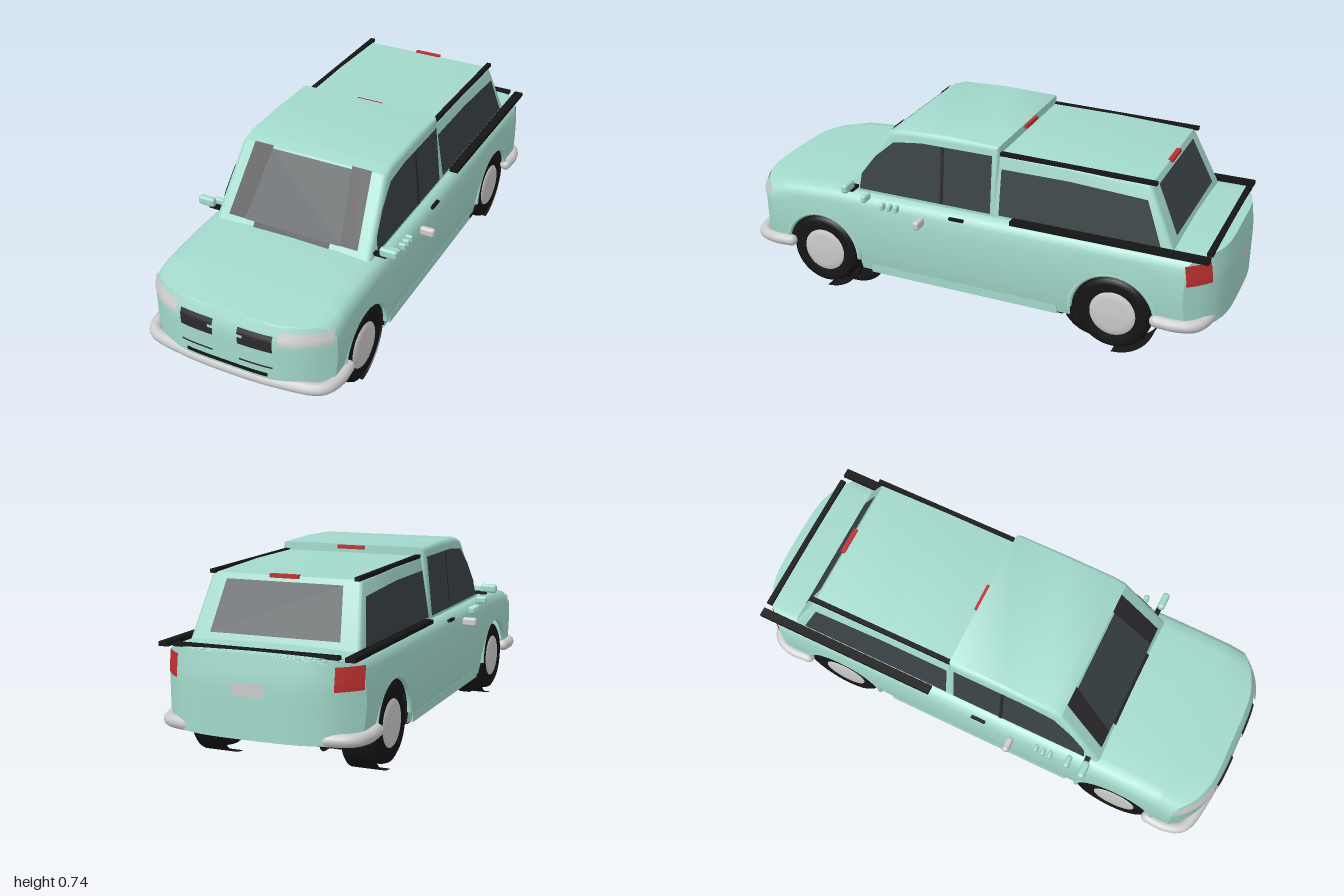
import * as THREE from 'three';
import { mergeGeometries, toCreasedNormals } from 'three/addons/utils/BufferGeometryUtils.js';
import { RoundedBoxGeometry } from 'three/addons/geometries/RoundedBoxGeometry.js';

const mat = (color) => new THREE.MeshStandardMaterial({ color, side: THREE.DoubleSide });
const paint = mat(0xa3d9cc), black = mat(0x151515), trim = mat(0x2a2a2c), glass = mat(0x3a4346);
const grey = mat(0xcccccc), red = mat(0xc03030), lamp = mat(0xe4e4e4);
const AXLES = [0.635, -0.605], WHEEL_Y = 0.147, ARCH = 0.168;
const lerp = THREE.MathUtils.lerp;

// Surface of nu x nv cells from a point rule
function grid(nu, nv, fn) {
  const pos = [], idx = [];
  for (let i = 0; i <= nu; i++) for (let j = 0; j <= nv; j++) pos.push(...fn(i / nu, j / nv, i, j));
  for (let i = 0; i < nu; i++) for (let j = 0; j < nv; j++) {
    const a = i * (nv + 1) + j, b = a + nv + 1;
    idx.push(a, b, a + 1, b, b + 1, a + 1);
  }
  const g = new THREE.BufferGeometry();
  g.setAttribute('position', new THREE.Float32BufferAttribute(pos, 3));
  g.setIndex(idx);
  g.computeVertexNormals();
  return g;
}

// Lower body: rounded plan at both ends, nose leaning back near the top
function bend(x, y, z) {
  const t = Math.max(0, (Math.abs(z) - 0.8) / 0.2), s = Math.sign(z);
  const lean = z > 0 ? 0.5 : 0.15;
  return [x, y, z - s * t * (0.13 * (Math.abs(x) / 0.375) ** 4 + lean * Math.max(0, y - 0.35))];
}
const sideX = (y) => 0.375 - 0.6 * (y - 0.29) ** 2;
const topY = (z) => 0.438 - (z > 0.5 ? 0.035 * ((z - 0.5) / 0.49) ** 2 : 0);
function bottomY(z) {
  let y = Math.abs(z) > 0.62 ? 0.15 : 0.1;
  for (const a of AXLES) {
    const d = Math.abs(z - a);
    if (d < ARCH) y = Math.max(y, WHEEL_Y + Math.sqrt(ARCH * ARCH - d * d));
  }
  return y;
}
function section(z) {
  const yb = bottomY(z), top = topY(z), half = [];
  for (let i = 0; i <= 7; i++) {
    const y = lerp(yb, top - 0.045, i / 7);
    half.push([sideX(y), y]);
  }
  half.push([0.358, top - 0.02], [0.34, top - 0.006], [0.3, top], [0.2, top + 0.004], [0.1, top + 0.006]);
  return [...half, [0, top + 0.007], ...half.map(([x, y]) => [-x, y]).reverse()];
}
function bodyGeometry() {
  const n = section(0).length - 1;
  const shell = grid(240, n, (u, v, i, j) => {
    const z = lerp(-1, 0.99, u), p = section(z)[j];
    return bend(p[0], p[1], z);
  });
  const caps = [-1, 0.99].map((z) => grid(n / 2, 20, (u, v, i) => {
    const p = section(z)[i];
    return bend(lerp(p[0], -p[0], v), p[1], z);
  }));
  return toCreasedNormals(mergeGeometries([shell, ...caps]), 0.6);
}

// Cabin and canopy: extruded side profile, narrowing with height
const cabX = (y) => lerp(0.328, 0.3, (y - 0.43) / 0.28);
const canopyX = (y) => lerp(0.328, 0.288, (y - 0.43) / 0.25);
function greenhouse(points, widthAt, bevel) {
  const depth = 0.656 - 2 * bevel;
  const g = new THREE.ExtrudeGeometry(new THREE.Shape(points.map((p) => new THREE.Vector2(...p))), {
    depth, bevelThickness: bevel, bevelSize: bevel, bevelOffset: -bevel, bevelSegments: 4,
  });
  g.translate(0, 0, -depth / 2).rotateY(-Math.PI / 2);
  const p = g.attributes.position;
  for (let i = 0; i < p.count; i++) p.setX(i, p.getX(i) * widthAt(p.getY(i)) / 0.328);
  return toCreasedNormals(g, 0.6);
}

export function createModel() {
  const model = new THREE.Group();
  const add = (name, geo, m, x = 0, y = 0, z = 0) => {
    const mesh = new THREE.Mesh(geo, m);
    mesh.name = name;
    mesh.position.set(x, y, z);
    model.add(mesh);
    return mesh;
  };
  const box = (name, m, w, h, d, x, y, z) => add(name, new THREE.BoxGeometry(w, h, d), m, x, y, z);
  const rounded = (name, m, w, h, d, x, y, z) => add(name, new RoundedBoxGeometry(w, h, d, 3, Math.min(w, h, d) * 0.4), m, x, y, z);
  // Panel hugging the front (z > 0) or rear of the body
  const endPanel = (name, m, x0, x1, y0, y1, z) => add(name,
    grid(12, 4, (u, v) => bend(lerp(x0, x1, u), lerp(y0, y1, v), z)), m);
  // Panel on a sloping screen
  const screen = (name, m, bot, top, y0, y1, zAt) => add(name, grid(1, 1, (u, v) =>
    [lerp(lerp(bot[0], bot[1], u), lerp(top[0], top[1], u), v), lerp(y0, y1, v), zAt(lerp(y0, y1, v))]), m);
  // Side window following the lean of the cabin wall
  const sideWindow = (name, pts, widthAt, s) => {
    const g = new THREE.ShapeGeometry(new THREE.Shape(pts.map((p) => new THREE.Vector2(...p))));
    const p = g.attributes.position;
    for (let i = 0; i < p.count; i++) p.setXYZ(i, s * (widthAt(p.getY(i)) + 0.003), p.getY(i), p.getX(i));
    g.computeVertexNormals();
    add(name, g, glass);
  };

  add('body', bodyGeometry(), paint);
  add('cabin', greenhouse([[0.55, 0.4], [0.53, 0.435], [0.345, 0.695], [0.29, 0.712], [0.1, 0.718], [-0.12, 0.712], [-0.12, 0.4]], cabX, 0.02), paint);
  add('canopy', greenhouse([[-0.1, 0.4], [-0.1, 0.68], [-0.4, 0.678], [-0.705, 0.665], [-0.81, 0.44], [-0.82, 0.4]], canopyX, 0.015), paint);

  // Windscreen and rear window
  const frontZ = (y) => 0.534 - (y - 0.435) * 0.7115;
  const rearZ = (y) => -0.813 + (y - 0.44) * 0.4667;
  screen('windscreen', glass, [-0.2, 0.2], [-0.17, 0.17], 0.46, 0.69, frontZ);
  screen('windscreenSill', trim, [-0.16, 0.16], [-0.16, 0.16], 0.442, 0.46, frontZ);
  screen('rearWindow', glass, [-0.25, 0.25], [-0.225, 0.225], 0.465, 0.645, rearZ);

  // Underside
  box('floor', black, 0.54, 0.06, 1.5, 0, 0.105, 0);
  box('floorSides', black, 0.69, 0.05, 0.84, 0, 0.115, 0.015);
  box('chassisCore', black, 0.48, 0.25, 1.76, 0, 0.26, 0);
  box('frontUnderside', black, 0.64, 0.02, 0.1, 0, 0.155, 0.85);
  box('rearUnderside', black, 0.64, 0.02, 0.12, 0, 0.155, -0.84);
  rounded('silencer', black, 0.15, 0.04, 0.25, -0.135, 0.085, -0.3);
  const pipe = new THREE.CatmullRomCurve3([[-0.2, 0.1, -0.55], [-0.2, 0.1, -0.75], [-0.24, 0.13, -0.92]].map((p) => new THREE.Vector3(...p)));
  add('exhaustPipe', new THREE.TubeGeometry(pipe, 12, 0.012, 10), black);

  // Front and rear bumpers
  for (const [name, e, s] of [['frontBumper', 0.975, 1], ['rearBumper', 0.965, -1]]) {
    const half = [[0.372, 0.19], [0.374, 0.11], [0.345, 0.045], [0.2, 0.01]];
    const pts = [...half, [0, 0], ...half.map(([x, d]) => [-x, d]).reverse()];
    const curve = new THREE.CatmullRomCurve3(pts.map(([x, d]) => new THREE.Vector3(x, 0.166, s * (e - d))));
    add(name, new THREE.TubeGeometry(curve, 60, 0.024, 12), grey);
    for (const x of [-0.372, 0.372]) add(name + 'End', new THREE.SphereGeometry(0.024, 12, 8), grey, x, 0.166, s * (e - 0.19));
  }

  // Tyre section, revolved around the axle
  const tyre = new THREE.LatheGeometry([[0.085, -0.052], [0.125, -0.057], [0.141, -0.048], [0.147, -0.03], [0.147, 0.03], [0.141, 0.048], [0.125, 0.057], [0.088, 0.05]]
    .map((p) => new THREE.Vector2(...p)), 40).rotateZ(-Math.PI / 2);
  const hub = new THREE.LatheGeometry([[0.094, -0.04], [0.094, 0.046], [0.086, 0.055], [0.06, 0.058], [0, 0.06]]
    .map((p) => new THREE.Vector2(...p)), 32).rotateZ(-Math.PI / 2);
  const well = new THREE.CylinderGeometry(ARCH, ARCH, 0.12, 32, 1, true, 0, Math.PI).rotateZ(Math.PI / 2);

  for (const s of [1, -1]) {
    AXLES.forEach((z, i) => {
      const end = i ? 'rear' : 'front';
      add(end + 'Tyre', tyre, black, s * 0.308, WHEEL_Y, z);
      add(end + 'Hub', hub, grey, s * 0.308, WHEEL_Y, z).rotation.y = s > 0 ? 0 : Math.PI;
      // Inner tyre set towards the middle of the vehicle
      add(end + 'InnerTyre', tyre, black, s * 0.285, WHEEL_Y, z + (i ? 0.08 : -0.11)).scale.x = 0.6;
      const w = add(end + 'WheelWell', well, black, s * 0.295, WHEEL_Y, z);
      w.rotation.x = -Math.PI / 2;
      const pos = w.geometry.attributes.position;
      if (pos.getZ(5) < 0) w.rotation.x = Math.PI / 2;
      add(end + 'ArchLip', new THREE.TorusGeometry(ARCH, 0.01, 8, 32, Math.PI), paint, s * 0.366, WHEEL_Y, z).rotation.y = Math.PI / 2;
    });

    // Side windows and their divider
    sideWindow('doorWindow', [[0.47, 0.445], [0.46, 0.51], [0.4, 0.59], [0.32, 0.66], [0.2, 0.675], [-0.095, 0.675], [-0.095, 0.445]], cabX, s);
    sideWindow('canopyWindow', [[-0.13, 0.445], [-0.13, 0.625], [-0.4, 0.625], [-0.7, 0.61], [-0.765, 0.445]], canopyX, s);
    box('windowDivider', trim, 0.006, 0.225, 0.012, s * 0.319, 0.56, 0.11).rotation.z = s * 0.1;
    screen('windscreenBand', trim, [s * 0.2, s * 0.272], [s * 0.165, s * 0.245], 0.462, 0.7, (y) => frontZ(y) + 0.001);

    // Rails, sills and door hardware
    box('canopyRail', black, 0.018, 0.014, 0.62, s * 0.279, 0.674, -0.415).rotation.x = -0.015;
    box('bedRail', black, 0.036, 0.016, 0.76, s * 0.35, 0.441, -0.57);
    box('sill', paint, 0.03, 0.035, 0.8, s * 0.345, 0.112, 0.015);
    box('doorHandle', black, 0.012, 0.01, 0.06, s * 0.366, 0.41, 0.03);
    rounded('mirror', paint, 0.07, 0.037, 0.028, s * 0.385, 0.473, 0.49);
    box('mirrorArm', black, 0.06, 0.012, 0.02, s * 0.345, 0.453, 0.485);
    rounded('mirrorBracket', paint, 0.05, 0.03, 0.022, s * 0.372, 0.432, 0.42);
    for (const z of [0.345, 0.315, 0.285]) rounded('doorKnob', paint, 0.03, 0.028, 0.016, s * 0.372, 0.408, z);
    rounded('sideHandle', grey, 0.06, 0.036, 0.026, s * 0.4, 0.38, 0.175);

    // Lamps and grille
    endPanel('headlight', lamp, s * 0.205, s * 0.365, 0.34, 0.388, 0.996);
    endPanel('grilleUpper', trim, s * 0.05, s * 0.185, 0.345, 0.37, 0.994);
    endPanel('grilleMiddle', trim, s * 0.07, s * 0.185, 0.333, 0.345, 0.994);
    endPanel('grilleLower', trim, s * 0.05, s * 0.185, 0.305, 0.333, 0.994);
    endPanel('grilleSlot', trim, s * 0.055, s * 0.185, 0.235, 0.242, 0.994);
    endPanel('tailLight', red, s * 0.295, s * 0.371, 0.33, 0.412, -1.006);
  }
  endPanel('lowerIntake', black, -0.165, 0.165, 0.195, 0.211, 0.994);
  endPanel('numberPlate', grey, -0.06, 0.06, 0.3, 0.345, -1.003);
  box('tailgateRail', black, 0.62, 0.014, 0.022, 0, 0.444, -0.94);
  box('cabinBrakeLight', red, 0.11, 0.014, 0.016, 0, 0.702, -0.124);
  box('canopyBrakeLight', red, 0.11, 0.014, 0.018, 0, 0.664, -0.708);
  return model;
}
